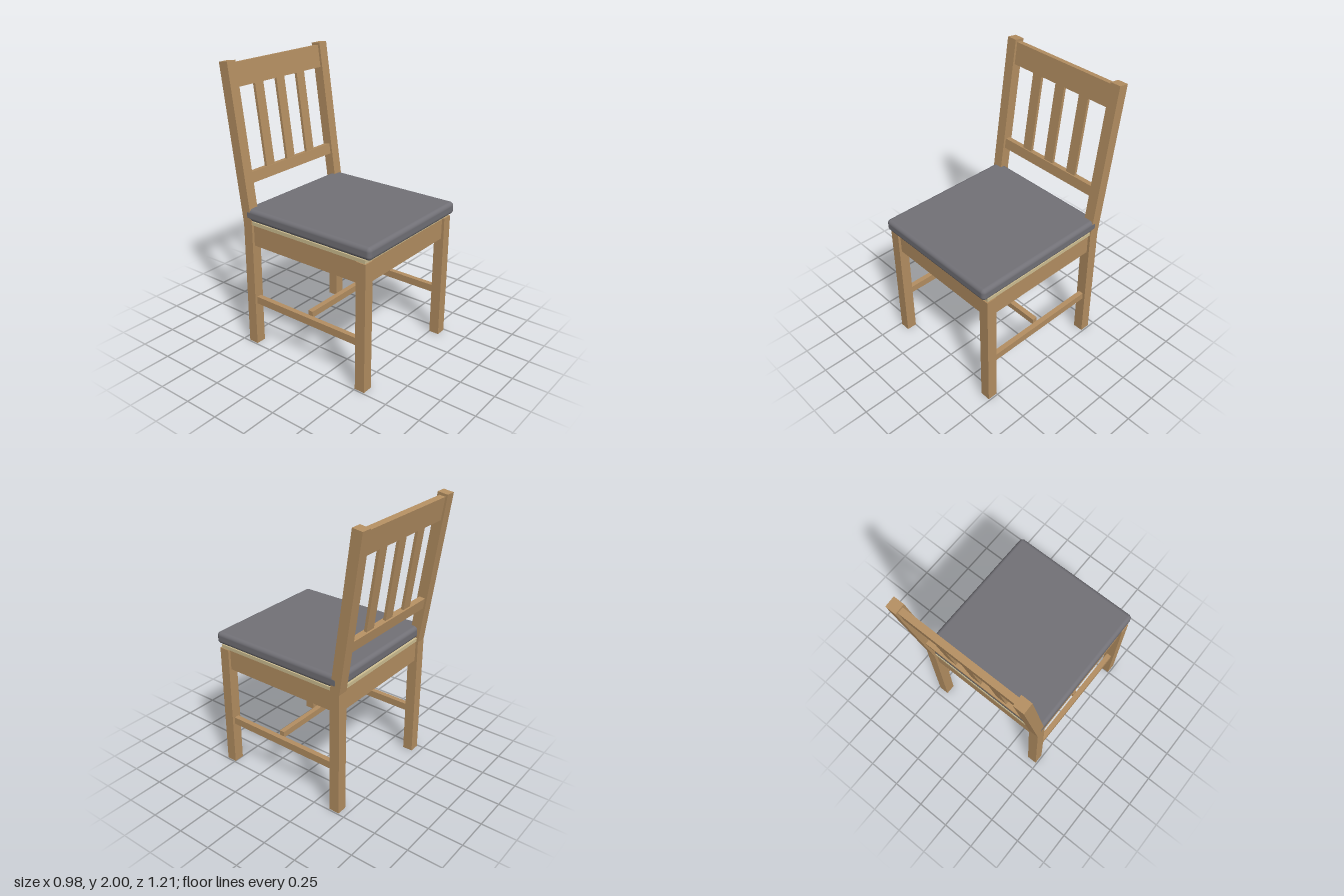
import * as THREE from 'three';
import { RoundedBoxGeometry } from 'three/addons/geometries/RoundedBoxGeometry.js';

export function createModel() {
  const chair = new THREE.Group();
  chair.name = 'chair';

  const material = (name, color) => {
    const m = new THREE.MeshStandardMaterial({ color });
    m.name = name;
    return m;
  };
  const wood = material('wood', 0xb48f62);
  const ply = material('pale plywood', 0xcfbf92);
  const fabric = material('grey fabric', 0x727177);

  // Box given by its [min, max] range on each axis
  const box = (name, x, y, z, mat = wood, parent = chair) => {
    const mesh = new THREE.Mesh(new THREE.BoxGeometry(x[1] - x[0], y[1] - y[0], z[1] - z[0]), mat);
    mesh.position.set((x[0] + x[1]) / 2, (y[0] + y[1]) / 2, (z[0] + z[1]) / 2);
    mesh.name = name;
    parent.add(mesh);
    return mesh;
  };
  // Mirrored x range: the same span on the left (+x) or right (-x)
  const side = (s, a, b) => (s > 0 ? [a, b] : [-b, -a]);

  const outer = 0.49, inner = 0.415, frameTop = 0.918;
  const apronY = [0.764, frameTop];

  // Backrest, leaning back from the top of the rear legs
  const back = new THREE.Group();
  back.name = 'backrest';
  back.position.set(0, frameTop, -0.377);
  back.rotation.x = -THREE.MathUtils.degToRad(8);
  chair.add(back);

  // Legs, side rails and back posts
  for (const s of [1, -1]) {
    const label = s > 0 ? 'left' : 'right';
    box(label + 'FrontLeg', side(s, inner, outer), [0, frameTop], [0.499, 0.573]);
    box(label + 'BackLeg', side(s, inner, outer), [0, frameTop], [-0.451, -0.377]);
    box(label + 'Apron', side(s, 0.434, 0.471), apronY, [-0.377, 0.499]);
    box(label + 'Stretcher', side(s, 0.434, 0.471), [0.316, 0.369], [-0.377, 0.499]);
    box(label + 'BackPost', side(s, inner, outer), [0, 1.093], [-0.074, 0], wood, back);
  }

  // Front and back aprons, cross stretcher
  box('frontApron', [-inner, inner], apronY, [0.5175, 0.5545]);
  box('backApron', [-inner, inner], apronY, [-0.4325, -0.3955]);
  box('crossStretcher', [-0.434, 0.434], [0.358, 0.403], [0.064, 0.101]);

  // Backrest rails and slats
  box('topRail', [-inner, inner], [0.918, 1.075], [-0.06, -0.017], wood, back);
  box('lowerRail', [-inner, inner], [0.273, 0.348], [-0.06, -0.017], wood, back);
  for (const x of [-0.207, 0, 0.207]) {
    box('slat', [x - 0.039, x + 0.039], [0.348, 0.918], [-0.048, -0.028], wood, back);
  }

  // Seat board and cushion
  box('seatBoard', [-0.483, 0.483], [frameTop, 0.943], [-0.44, 0.565], ply);
  const cushion = new THREE.Mesh(new RoundedBoxGeometry(0.981, 0.088, 1.044, 5, 0.028), fabric);
  cushion.name = 'cushion';
  cushion.position.set(0, 0.986, 0.082);
  chair.add(cushion);

  return chair;
}
